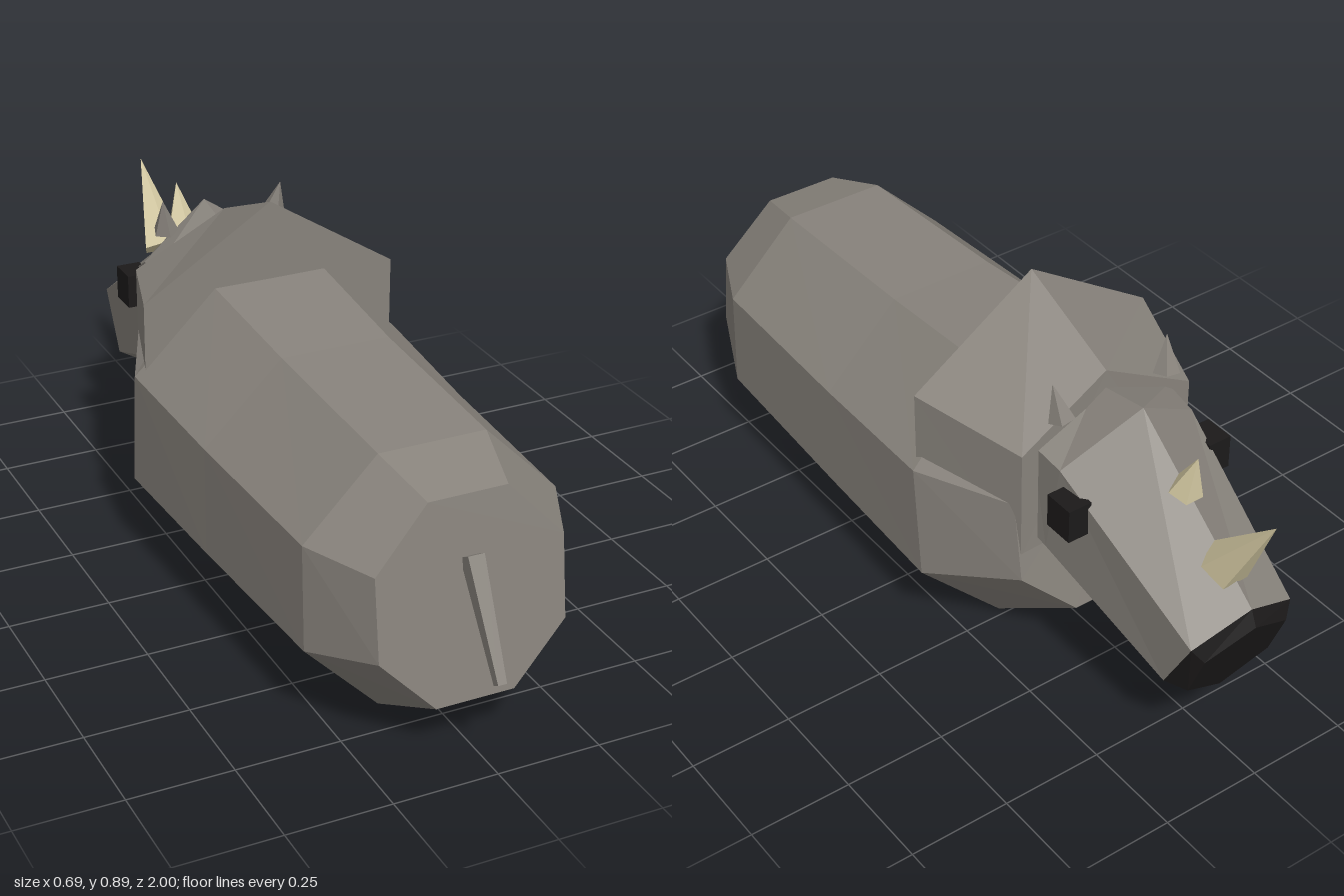
import * as THREE from 'three';

const mat = (color) => new THREE.MeshStandardMaterial({ color, flatShading: true });
const hide = mat(0x88837c), dark = mat(0x1c1a1a), ivory = mat(0xd6cba4);

// Mirrors a half outline (top to bottom, x >= 0) into a closed ring
function ring(half) {
  const left = half.map(([x, y, z]) => [-x, y, z]);
  const right = half.filter((p) => p[0] > 0).reverse();
  return [...left, ...right];
}

// Closed loft through rings ordered from +z to -z
function loft(halves) {
  const rings = halves.map(ring), n = rings[0].length, index = [];
  const last = (rings.length - 1) * n;
  for (let i = 0; i < rings.length - 1; i++) {
    for (let j = 0; j < n; j++) {
      const a = i * n + j, b = i * n + (j + 1) % n;
      index.push(a, a + n, b, b, a + n, b + n);
    }
  }
  for (let k = 1; k < n - 1; k++) {
    index.push(0, k, k + 1, last, last + k + 1, last + k);
  }
  const g = new THREE.BufferGeometry();
  g.setAttribute('position', new THREE.Float32BufferAttribute(rings.flat(2), 3));
  g.setIndex(index);
  g.computeVertexNormals();
  return g;
}

export function createModel() {
  const model = new THREE.Group();

  const add = (name, geometry, material) => {
    const mesh = new THREE.Mesh(geometry, material);
    mesh.name = name;
    model.add(mesh);
    return mesh;
  };

  // Tapered prism standing between two points
  const spike = (name, from, to, rBase, rTip, sides, material, turn = 0) => {
    const a = new THREE.Vector3(...from), b = new THREE.Vector3(...to);
    const dir = b.clone().sub(a);
    const g = new THREE.CylinderGeometry(rTip, rBase, dir.length(), sides);
    g.rotateY(turn);
    const mesh = add(name, g, material);
    mesh.position.copy(a).add(b).multiplyScalar(0.5);
    mesh.quaternion.setFromUnitVectors(new THREE.Vector3(0, 1, 0), dir.normalize());
    return mesh;
  };

  // Octagonal body, rump to chest
  add('body', loft([
    [[0.095, 0.595, 0.83], [0.225, 0.457, 0.85], [0.225, 0.26, 0.875], [0.095, 0.125, 0.892]],
    [[0.13, 0.64, 0.67], [0.308, 0.463, 0.675], [0.308, 0.208, 0.685], [0.13, 0.027, 0.69]],
    [[0.135, 0.66, 0.2], [0.328, 0.47, 0.2], [0.328, 0.2, 0.2], [0.135, 0.012, 0.2]],
    [[0.143, 0.69, -0.16], [0.346, 0.49, -0.18], [0.346, 0.202, -0.205], [0.143, 0, -0.23]],
    [[0.1, 0.62, -0.4], [0.24, 0.5, -0.42], [0.24, 0.3, -0.45], [0.1, 0.16, -0.475]],
  ]), hide);

  // Hexagonal neck frill
  add('neckFrill', loft([
    [[0, 0.888, -0.155], [0.325, 0.68, -0.16], [0.325, 0.26, -0.165], [0, 0.06, -0.165]],
    [[0, 0.772, -0.43], [0.235, 0.645, -0.44], [0.235, 0.36, -0.44], [0, 0.22, -0.44]],
  ]), hide);

  // Head and dark muzzle share a ring
  const snout = [[0, 0.45, -0.945], [0.14, 0.385, -0.917], [0.14, 0.235, -0.835], [0, 0.165, -0.795]];
  add('head', loft([
    [[0, 0.72, -0.4], [0.19, 0.645, -0.42], [0.19, 0.4, -0.42], [0, 0.27, -0.42]],
    [[0, 0.75, -0.56], [0.185, 0.63, -0.51], [0.185, 0.385, -0.465], [0, 0.26, -0.45]],
    snout,
  ]), hide);
  add('muzzle', loft([
    snout,
    [[0, 0.41, -0.962], [0.115, 0.35, -0.935], [0.115, 0.232, -0.888], [0, 0.17, -0.865]],
  ]), dark);

  // Horns
  spike('frontHorn', [0, 0.51, -0.85], [0, 0.71, -0.995], 0.057, 0, 5, ivory);
  spike('rearHorn', [0, 0.622, -0.712], [0, 0.73, -0.745], 0.04, 0, 5, ivory);

  // Eyes and ears
  for (const [side, s] of [['left', 1], ['right', -1]]) {
    add(side + 'Eye', new THREE.BoxGeometry(0.06, 0.085, 0.077), dark).position.set(s * 0.196, 0.55, -0.56);
    spike(side + 'Ear', [s * 0.145, 0.725, -0.462], [s * 0.158, 0.812, -0.443], 0.032, 0, 5, hide);
  }

  // Tail
  spike('tail', [0, 0.46, 0.855], [0, 0.22, 0.992], 0.028, 0.015, 4, hide, Math.PI / 4);

  return model;
}
